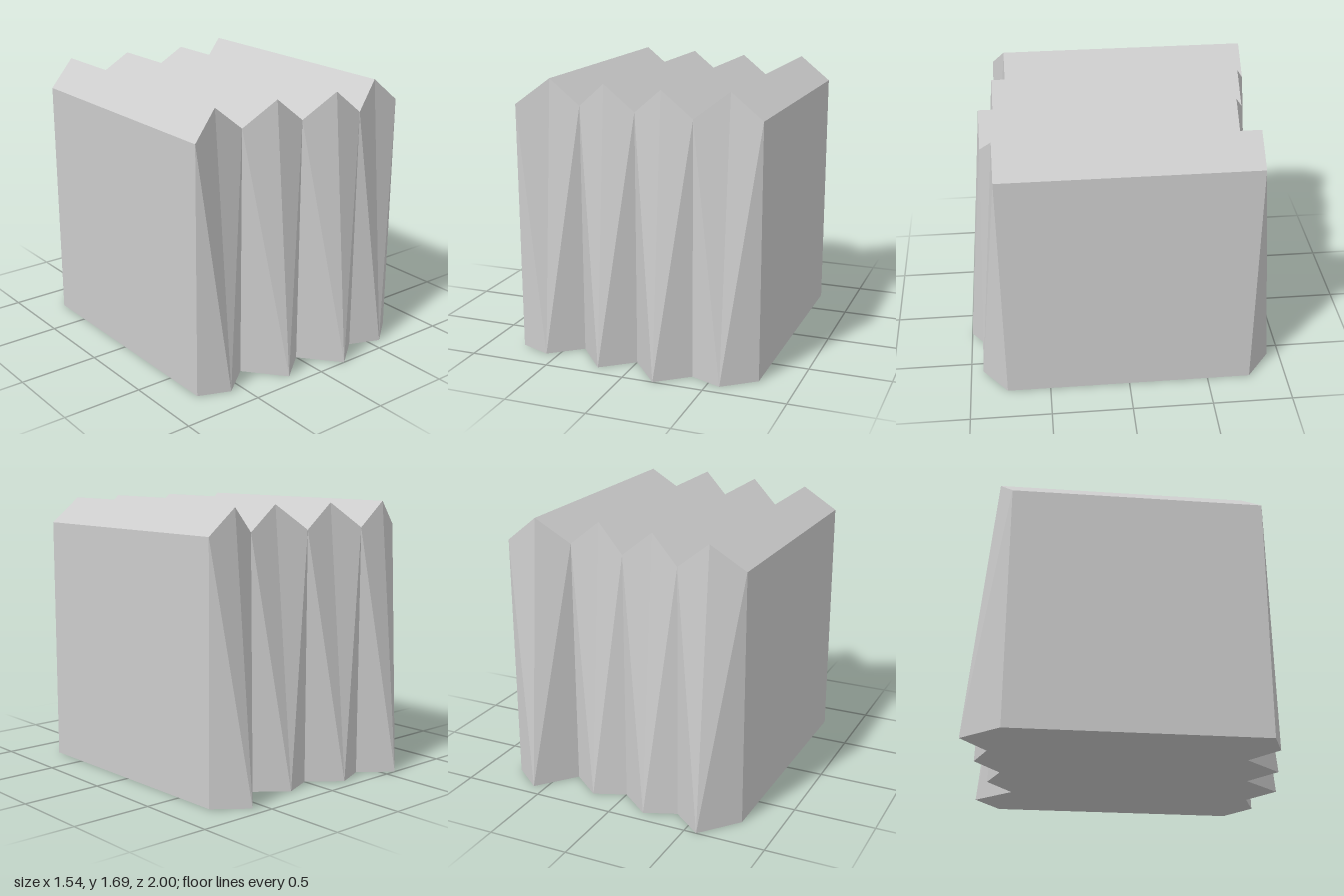
import * as THREE from 'three';

const U = 1 / 13;                              // grid unit of the design
const SHIFT = [0, -1, -1, 0, 0, 1, 1, 0, 0];   // z offset of each fold line, in units
const HALF_DEPTH = 10, FLARE = 2, EAVE = 20, RIDGE = 22, PITCH = 2.5;

// Corners of the block at fold line i; odd lines are ridges, which flare out at the base
function foldLine(i) {
  const ridge = i % 2 === 1;
  const x = (i - 4) * PITCH;
  const foot = HALF_DEPTH + (ridge ? FLARE : 0);
  const top = ridge ? RIDGE : EAVE;
  const point = (y, z) => [x * U, y * U, (z + SHIFT[i]) * U];
  return {
    ridge,
    frontBottom: point(0, foot), frontTop: point(top, HALF_DEPTH),
    backBottom: point(0, -foot), backTop: point(top, -HALF_DEPTH),
  };
}

// Two triangles per quad, split along the a-c diagonal
function quadMesh(name, quads, material) {
  const positions = quads.flatMap(([a, b, c, d]) => [a, b, c, a, c, d].flat());
  const geometry = new THREE.BufferGeometry();
  geometry.setAttribute('position', new THREE.Float32BufferAttribute(positions, 3));
  geometry.computeVertexNormals();
  const mesh = new THREE.Mesh(geometry, material);
  mesh.name = name;
  return mesh;
}

export function createModel() {
  const group = new THREE.Group();
  group.name = 'pleatedBuilding';
  const material = new THREE.MeshStandardMaterial({ color: 0xcccccc, flatShading: true });
  const lines = SHIFT.map((_, i) => foldLine(i));
  const front = [], back = [], roof = [], floor = [];

  // One strip between each pair of fold lines; wall diagonals start at the ridge foot
  for (let i = 0; i < lines.length - 1; i++) {
    const l = lines[i], r = lines[i + 1];
    front.push(l.ridge
      ? [l.frontBottom, r.frontBottom, r.frontTop, l.frontTop]
      : [r.frontBottom, r.frontTop, l.frontTop, l.frontBottom]);
    back.push(l.ridge
      ? [l.backBottom, l.backTop, r.backTop, r.backBottom]
      : [r.backBottom, l.backBottom, l.backTop, r.backTop]);
    roof.push([l.frontTop, r.frontTop, r.backTop, l.backTop]);
    floor.push([l.frontBottom, l.backBottom, r.backBottom, r.frontBottom]);
  }

  // Flat end walls
  const a = lines[0], b = lines[lines.length - 1];
  const rightWall = [[a.frontBottom, a.frontTop, a.backTop, a.backBottom]];
  const leftWall = [[b.frontBottom, b.backBottom, b.backTop, b.frontTop]];

  const parts = { frontWall: front, backWall: back, foldedRoof: roof, floor, rightWall, leftWall };
  for (const [name, quads] of Object.entries(parts)) group.add(quadMesh(name, quads, material));
  return group;
}
